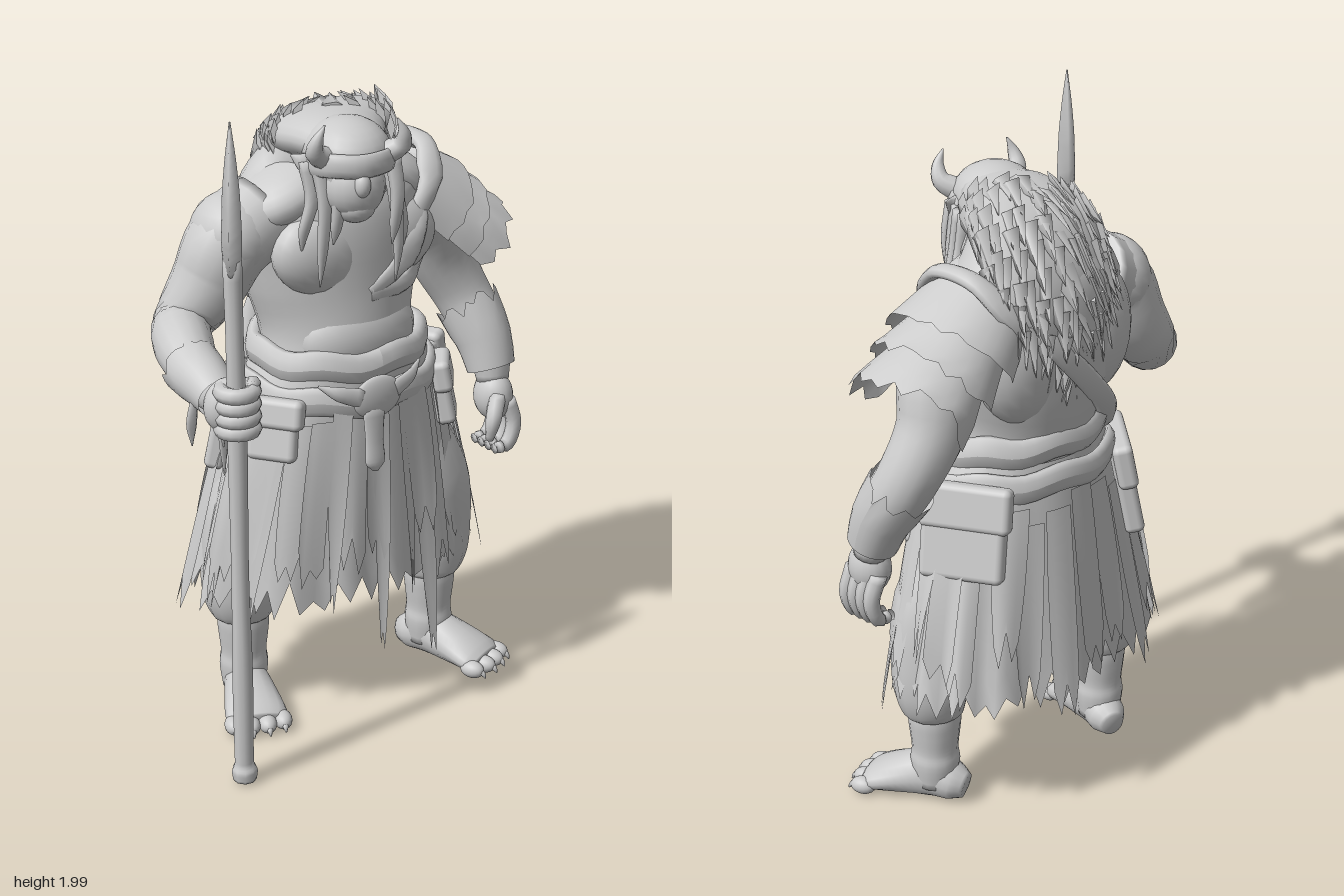
import * as THREE from 'three';
import { RoundedBoxGeometry } from 'three/addons/geometries/RoundedBoxGeometry.js';

const V = (x, y, z) => new THREE.Vector3(x, y, z);
const TAU = Math.PI * 2;
const clay = new THREE.MeshStandardMaterial({ color: 0xcccccc, side: THREE.DoubleSide });
clay.name = 'clay grey';

export function createModel() {
  const model = new THREE.Group();
  model.name = 'hornedWarrior';
  let seed = 7;
  const rand = (a = 0, b = 1) => {
    seed = (seed * 16807) % 2147483647;
    return a + (b - a) * seed / 2147483647;
  };
  const add = (name, geo, parent = model) => {
    const m = new THREE.Mesh(geo, clay);
    m.name = name;
    parent.add(m);
    return m;
  };
  const build = (pos, idx) => {
    const g = new THREE.BufferGeometry();
    g.setAttribute('position', new THREE.Float32BufferAttribute(pos, 3));
    g.setIndex(idx);
    g.computeVertexNormals();
    return g;
  };
  // Surface of a tube through [x, y, z, r1, r2] stations
  const tube = (pts, ref = V(1, 0, 0)) => {
    const path = new THREE.CatmullRomCurve3(pts.map(p => V(p[0], p[1], p[2])));
    const size = new THREE.CatmullRomCurve3(pts.map(p => V(p[3], p[4] ?? p[3], 0)));
    return (s, th) => {
      const c = path.getPoint(s), t = path.getTangent(s), r = size.getPoint(s);
      const u = ref.clone().addScaledVector(t, -ref.dot(t)).normalize(), v = t.clone().cross(u);
      const out = u.multiplyScalar(Math.max(r.x, 0.001) * Math.cos(th)).addScaledVector(v, Math.max(r.y, 0.001) * Math.sin(th));
      return { c, t, n: out.clone().normalize(), p: c.clone().add(out) };
    };
  };
  // Closed smooth solid along a tube
  const sweep = (name, pts, { sides = 16, ref, parent } = {}) => {
    const at = tube(pts, ref), rings = (pts.length - 1) * 4, pos = [], idx = [];
    for (let i = 0; i <= rings; i++) for (let j = 0; j < sides; j++) pos.push(...at(i / rings, j / sides * TAU).p.toArray());
    const n = pos.length / 3, last = rings * sides;
    pos.push(...at(0, 0).c.toArray(), ...at(1, 0).c.toArray());
    for (let j = 0; j < sides; j++) {
      const k = (j + 1) % sides;
      for (let a = 0; a < last; a += sides) idx.push(a + j, a + k, a + sides + k, a + j, a + sides + k, a + sides + j);
      idx.push(n, k, j, n + 1, last + j, last + k);
    }
    return add(name, build(pos, idx), parent);
  };
  // Open sheet from a rule fn(column, row) -> point
  const sheet = (name, cols, rows, fn) => {
    const pos = [], idx = [], w = cols + 1;
    for (let i = 0; i <= rows; i++) for (let j = 0; j <= cols; j++) {
      pos.push(...fn(j, i).toArray());
      const a = i * w + j;
      if (i < rows && j < cols) idx.push(a, a + w, a + w + 1, a, a + w + 1, a + 1);
    }
    return add(name, build(pos, idx));
  };
  const blob = (name, x, y, z, rx, ry, rz, parent) => {
    const m = add(name, new THREE.SphereGeometry(1, 20, 14), parent);
    m.position.set(x, y, z);
    m.scale.set(rx, ry, rz);
    return m;
  };

  // Torso and muscles
  sweep('torso', [[.03, .95, -.06, .26, .2], [.03, 1.1, -.06, .245, .2], [.03, 1.2, -.07, .235, .205], [.03, 1.34, -.09, .27, .215],
    [.03, 1.5, -.1, .3, .22], [.02, 1.62, -.1, .29, .205], [.01, 1.73, -.07, .2, .15], [-.03, 1.79, .03, .1, .08]], { sides: 28 });
  sweep('neck', [[.01, 1.6, -.03, .2, .12], [-.02, 1.68, .03, .15, .1], [-.05, 1.74, .09, .1, .09]]);
  for (const s of [-1, 1]) {
    blob('pectoral', .025 + s * .12, 1.46, .035, .165, .125, .085).rotation.z = s * .25;
    blob('trapezius', .02 + s * .17, 1.63, -.07, .17, .08, .13).rotation.z = -s * .42;
    blob('backMuscle', .03 + s * .14, 1.45, -.19, .15, .21, .115);
    blob('shoulder', .02 + s * .33, 1.52, -.1, .12, .13, .13);
  }
  blob('belly', .03, 1.19, .03, .2, .14, .115);

  // Arms
  sweep('rightArm', [[-.2, 1.57, -.1, .13], [-.32, 1.5, -.1, .125], [-.375, 1.39, -.12, .112], [-.46, 1.275, -.13, .088],
    [-.525, 1.25, -.02, .085], [-.555, 1.215, .1, .068], [-.57, 1.19, .24, .05]]);
  sweep('leftArm', [[.26, 1.56, -.1, .13], [.41, 1.44, -.12, .12], [.465, 1.3, -.135, .1], [.53, 1.17, -.11, .09],
    [.56, 1.07, -.06, .085], [.57, .98, -.01, .065], [.57, .9, .01, .05]]);

  // Ragged wrist cuffs
  for (const [name, pts, jag] of [['leftCuff', [[.57, .94, 0, .075], [.565, 1.03, -.035, .088], [.55, 1.1, -.075, .1]], .06],
    ['rightCuff', [[-.57, 1.19, .22, .06], [-.56, 1.21, .14, .075], [-.55, 1.22, .07, .085]], .04]]) {
    const at = tube(pts), hem = Array.from({ length: 28 }, () => rand(0, jag));
    sheet(name, 28, 4, (j, i) => {
      const f = at(i / 4, j / 28 * TAU);
      return f.p.addScaledVector(f.t, i === 4 ? hem[j % 28] : 0);
    });
  }
  for (const [x, z, y] of [[-.49, .12, .9], [-.62, .16, 1.04], [-.53, .18, 1.02]])
    sweep('cuffTassel', [[x + .01, 1.18, z, .012], [x, (y + 1.18) / 2, z, .018, .008], [x, y, z, .002]], { sides: 6 });

  // Hands
  blob('rightPalm', -.575, 1.19, .275, .07, .08, .06);
  for (let i = 0; i < 4; i++) {
    const f = add('rightFinger', new THREE.TorusGeometry(.044, .024, 8, 18));
    f.position.set(-.567, 1.135 + i * .036, .31);
    f.rotation.x = Math.PI / 2;
    const z = -.035 + i * .033;
    sweep('leftFinger', [[.585, .85, z, .026], [.605, .77, z + .01, .024], [.58, .705, z + .01, .023], [.53, .7, z + .01, .017]], { sides: 8 });
  }
  sweep('rightThumb', [[-.53, 1.19, .25, .025], [-.505, 1.24, .29, .024], [-.54, 1.26, .345, .016]], { sides: 8 });
  blob('leftPalm', .565, .855, .02, .058, .08, .068);
  sweep('leftThumb', [[.55, .87, .06, .028], [.515, .8, .085, .024], [.51, .735, .075, .012]], { sides: 8 });

  // Layered shoulder armour with a thick upper edge
  const axis = V(.77, -.64, 0), lift = V(.64, .77, 0);
  [[0, .17], [.12, .27], [.21, .36]].forEach(([s0, s1], k) => {
    const hem = Array.from({ length: 21 }, () => rand(-.015, k === 2 ? .05 : .015));
    sheet('shoulderPlate', 20, 4, (j, i) => {
      const f = i / 4, a = (j / 20 - .5) * 3.9, r = .135 + .04 * f - k * .006;
      return V(.225, 1.59, -.1).addScaledVector(axis, s0 + (s1 - s0) * f + (i === 4 ? hem[j] : 0))
        .addScaledVector(lift, r * Math.cos(a)).add(V(0, 0, 1.22 * r * Math.sin(a)));
    });
  });
  sweep('shoulderRoll', [[.2, 1.5, .07, .03, .02], [.27, 1.6, .06, .035, .02], [.32, 1.69, -.02, .035, .02], [.325, 1.705, -.1, .035, .02],
    [.32, 1.69, -.18, .035, .02], [.27, 1.6, -.26, .035, .02], [.2, 1.5, -.27, .03, .02]], { sides: 10 });

  // Chest and back straps
  sweep('backStrap', [[.25, 1.62, -.25, .035, .012], [.14, 1.48, -.315, .035, .012], [-.02, 1.32, -.305, .035, .012], [-.14, 1.2, -.25, .035, .012], [-.22, 1.1, -.17, .035, .012]], { sides: 8 });
  sweep('chestStrap', [[.25, 1.6, .02, .03, .01], [.2, 1.5, .105, .03, .01], [.12, 1.4, .12, .03, .01], [.02, 1.34, .12, .02, .01]], { sides: 8 });
  sweep('ribStrap', [[.02, 1.335, .12, .025, .012], [.16, 1.34, .1, .03, .012], [.28, 1.38, .01, .03, .012]], { sides: 8, ref: V(0, 1, 0) });

  // Head, turned to its right
  const head = new THREE.Group();
  head.name = 'head';
  head.position.set(-.065, 1.765, .12);
  head.rotation.y = -.3;
  model.add(head);
  blob('skull', 0, .015, 0, .125, .1, .14, head);
  blob('face', 0, -.065, .06, .09, .095, .085, head);
  blob('nose', 0, -.045, .135, .024, .035, .025, head);
  blob('jaw', 0, -.12, .07, .06, .05, .06, head);
  sweep('browBand', [[-.125, -.01, 0, .03, .01], [-.09, .01, .1, .035, .014], [0, .01, .138, .035, .016], [.09, .01, .1, .035, .014], [.125, -.01, 0, .03, .01]], { sides: 10, ref: V(0, 1, 0), parent: head });
  for (const s of [-1, 1]) {
    sweep('horn', [[s * .08, .02, .07, .036], [s * .125, .05, .1, .028], [s * .125, .09, .12, .018], [s * .105, .135, .125, .002]], { sides: 10, parent: head });
    sweep('ear', [[s * .09, -.01, .01, .035, .02], [s * .13, 0, .02, .03, .012], [s * .165, .02, 0, .002]], { sides: 8, ref: V(0, 1, 0), parent: head });
  }

  // Mane with broad flat tufts
  const mane = [[-.06, 1.8, .15, .1, .06], [-.03, 1.8, .01, .16, .075], [.04, 1.76, -.13, .21, .085], [.07, 1.64, -.225, .22, .075], [.06, 1.5, -.265, .16, .05], [.05, 1.38, -.265, .05, .03]];
  sweep('mane', mane, { sides: 24 });
  const fur = tube(mane);
  const tuft = (p, n, t) => {
    const m = add('furTuft', new THREE.ConeGeometry(rand(.03, .045), rand(.11, .17), 4));
    const dir = t.clone().addScaledVector(n, rand(.05, .25)).normalize(), side = dir.clone().cross(n).normalize();
    m.quaternion.setFromRotationMatrix(new THREE.Matrix4().makeBasis(side, dir, side.clone().cross(dir)));
    m.scale.z = .3;
    m.position.copy(p).addScaledVector(t, .03);
  };
  for (let i = 0; i < 11; i++) for (let j = 0; j < 12; j++) {
    const f = fur(.26 + i * .066 + rand(0, .03), Math.PI * (.96 + (j + rand(-.3, .3)) / 11 * 1.08));
    tuft(f.p, f.n, f.t);
  }
  for (let i = 0; i < 12; i++) tuft(V(rand(.12, .26), rand(1.65, 1.71), rand(-.22, .03)), V(.3, 1, 0).normalize(), V(.75, -.4, rand(-.3, .3)));

  // Long hair locks beside the face
  for (const [x, z, y, e] of [[-.175, .14, 1.4, -.165], [-.19, .1, 1.5, -.2], [-.15, .17, 1.53, -.14], [.05, .16, 1.37, .085], [.08, .12, 1.42, .13], [.04, .19, 1.5, .05], [.1, .08, 1.5, .15]])
    sweep('hairLock', [[x, 1.77, z, .025], [x + .01, 1.66, z + .015, .022, .018], [e, (y + 1.64) / 2, z + .005, .018, .014], [e, y, z - .01, .002]], { sides: 7 });

  // Skirt surface shared by all cloth
  const drape = (a, y, off = 0) => {
    const d = Math.max(0, (1.12 - y) / .77), k = 1 + .045 * Math.min(d, 1) * Math.sin(a * 13 + 2 * Math.sin(a * 3));
    return V(.03 + (.275 + .2 * d ** .7 + off) * k * Math.sin(a), y, -.06 - .03 * d + (.215 + .05 * d + off) * k * Math.cos(a));
  };
  const cloth = (name, a, w, top, low, off, cols, taper = 0, ragged = .1) => {
    const hem = Array.from({ length: cols + 1 }, (_, j) => low + (j % 2 ? 0 : rand(.3, 1) * ragged) + rand(0, .04));
    sheet(name, cols, 9, (j, i) => {
      const v = i / 9;
      return drape(a + w * (2 * j / cols - 1) * (1 - taper * v * v), top + (hem[j] - top) * v, off + .012 * v);
    });
  };
  cloth('skirt', 0, Math.PI, 1.12, .38, 0, 72);
  for (let i = 0; i < 24; i++)
    cloth('skirtStrip', (i + rand(-.3, .3)) / 24 * TAU, rand(.09, .18), rand(.95, 1.06), rand(.33, .55), rand(.008, .03), 4, rand(.1, .5), .12);
  for (const [a, w, low] of [[-.04, .07, .2], [.34, .08, .14], [.2, .07, .36], [-.4, .09, .38], [-1, .14, .36], [1.15, .15, .34], [-1.35, .12, .4]])
    cloth('longRag', a, w, 1.05, low, .025, 4, .7, .14);

  // Belt rolls, buckle and hanging tab
  for (const [name, y, h, off, thick] of [['waistSash', 1.145, .05, -.015, .03], ['belt', 1.05, .045, .02, .02]])
    sheet(name, 48, 10, (j, i) => {
      const a = j / 48 * TAU, b = -i / 10 * TAU, p = drape(a, 1.12, off + thick * Math.cos(b));
      p.y = y + h * Math.sin(b) - .018 * Math.cos(a) + .008 * Math.sin(a * 7);
      return p;
    });
  blob('buckle', -.01, 1.05, .195, .085, .065, .02);
  for (const s of [-1, 1]) sweep('buckleHorn', [[-.01 + s * .06, 1.06, .2, .03, .012], [-.01 + s * .13, 1.085, .185, .022, .012], [-.01 + s * .18, 1.11, .155, .004]], { sides: 8, ref: V(0, 1, 0) });
  sweep('beltTab', [[-.025, 1.02, .2, .04, .012], [-.03, .92, .21, .032, .012], [-.03, .86, .215, .035, .014], [-.03, .83, .215, .01]], { sides: 10 });

  // Pouches with flaps
  for (const [a, w, h, y] of [[1.95, .25, .27, .94], [-2.2, .27, .28, .93], [-1.05, .15, .18, .96], [1, .13, .2, .95]])
    for (const [name, dy, off, pw, ph] of [['pouch', 0, .01, w, h], ['pouchFlap', h * .3, .022, w + .02, h * .5]]) {
      const m = add(name, new RoundedBoxGeometry(pw, ph, .06, 3, .02));
      m.position.copy(drape(a, y + dy, off));
      m.rotation.set(-.2, Math.atan2(Math.sin(a) * .8, Math.cos(a)), 0, 'YXZ');
    }

  // Legs and feet
  for (const [s, x, z, turn] of [[-1, -.285, -.11, -.38], [1, .355, -.02, .38]]) {
    const side = s < 0 ? 'right' : 'left';
    sweep(side + 'Trouser', [[.03 + s * .15, .9, -.07, .15], [x - s * .03, .65, z, .14], [x + s * .01, .47, z, .12], [x + s * .01, .38, z, .112], [x, .31, z, .09], [x, .29, z, .06]]);
    sweep(side + 'Shin', [[x, .4, z, .07], [x, .29, z, .08], [x, .24, z, .076], [x, .18, z, .07], [x, .14, z, .075], [x, .06, z, .065]]);
    const foot = new THREE.Group();
    foot.name = side + 'Foot';
    foot.position.set(x, .01, z);
    foot.rotation.y = turn;
    model.add(foot);
    sweep('footBody', [[0, .05, -.1, .035, .04], [0, .06, -.06, .06, .06], [0, .075, .01, .065, .075], [0, .06, .1, .082, .06], [0, .04, .18, .094, .04], [0, .03, .21, .08, .028]], { parent: foot });
    for (let i = 0; i < 4; i++) {
      const tx = (i - 1.5) * .05, tz = .225 - Math.abs(tx) * .25;
      blob('toe', tx, .027, tz, .028, .027, .04, foot);
      sweep('claw', [[tx, .03, tz + .02, .013, .011], [tx, .022, tz + .038, .009], [tx, .008, tz + .048, .002]], { sides: 6, parent: foot });
    }
  }

  // Spear
  sweep('spearShaft', [[-.556, .02, .3, .034], [-.556, .05, .3, .038], [-.557, .08, .3, .028], [-.558, .35, .3, .03], [-.562, .7, .302, .025],
    [-.566, 1.1, .306, .028], [-.572, 1.4, .31, .025], [-.577, 1.62, .312, .027]], { sides: 9 });
  sweep('spearBlade', [[-.577, 1.58, .312, .03, .026], [-.577, 1.625, .312, .055, .026], [-.577, 1.67, .312, .062, .028], [-.577, 1.8, .312, .052, .024],
    [-.577, 1.9, .312, .03, .015], [-.577, 2, .312, .002]], { sides: 4, ref: V(.66, 0, -.75) });
  return model;
}
